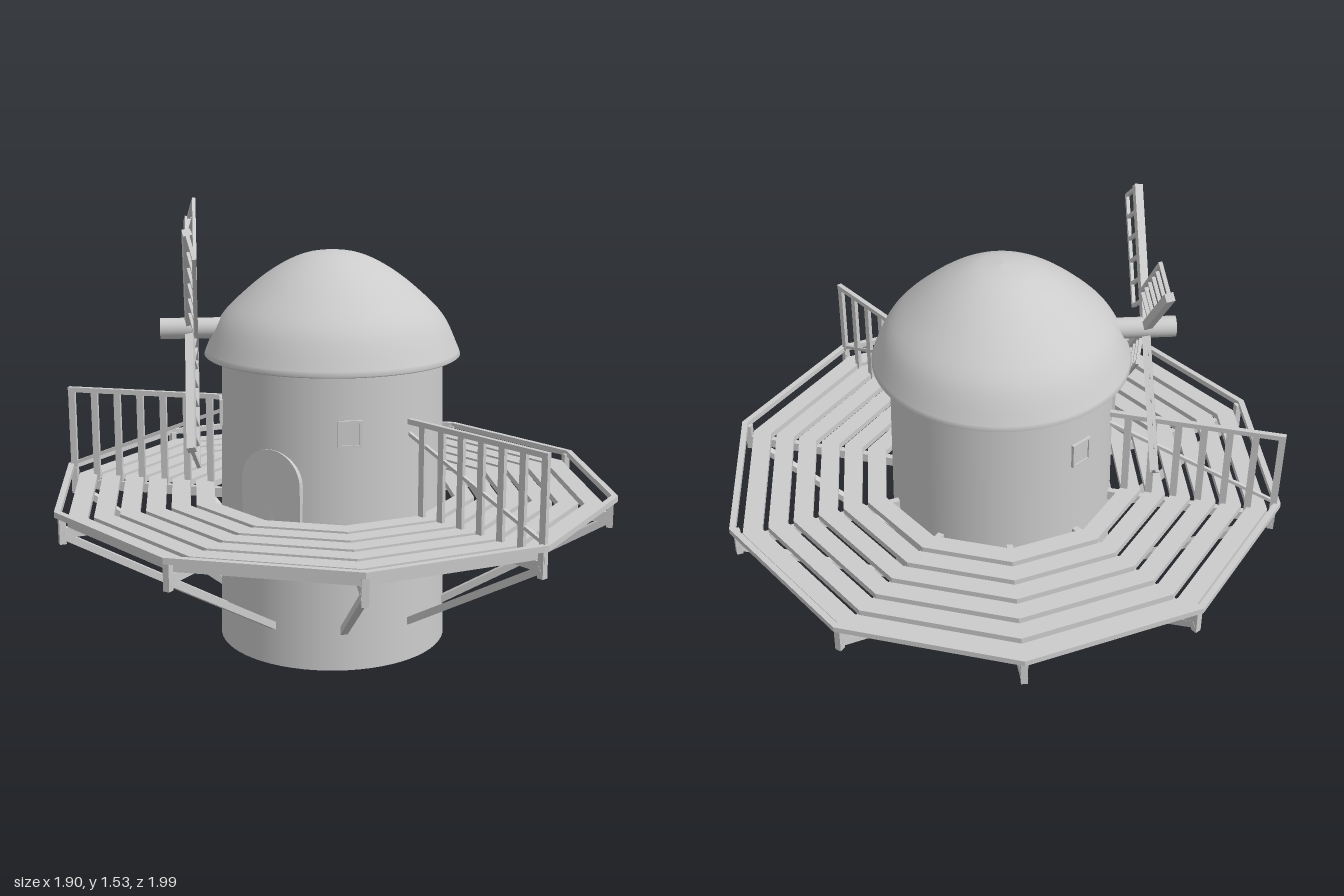
import * as THREE from 'three';

const mat = new THREE.MeshStandardMaterial({ color: 0xcccccc });
const matDouble = new THREE.MeshStandardMaterial({ color: 0xcccccc, side: THREE.DoubleSide });
const SIDES = 10;
const STEP = (Math.PI * 2) / SIDES;
const TURN = THREE.MathUtils.degToRad(1.2);
const APOTHEM = Math.cos(Math.PI / SIDES);

// Point at azimuth a (0 = front, towards +x), radius r and height y
const polar = (a, r, y) => new THREE.Vector3(Math.sin(a) * r, y, Math.cos(a) * r);

function add(parent, name, geometry, material = mat) {
  const mesh = new THREE.Mesh(geometry, material);
  mesh.name = name;
  parent.add(mesh);
  return mesh;
}

// Straight square beam between two points
function beam(parent, name, a, b, w, h = w) {
  const mesh = new THREE.Mesh(new THREE.BoxGeometry(w, h, a.distanceTo(b)), mat);
  mesh.name = name;
  mesh.position.copy(a).add(b).multiplyScalar(0.5);
  mesh.lookAt(b);
  parent.add(mesh);
}

// Flat ten-sided ring between two apothems
function ring(parent, name, inner, outer, y, height) {
  const outline = (apothem) => Array.from({ length: SIDES }, (_, i) => {
    const p = polar(TURN + i * STEP, apothem / APOTHEM, 0);
    return new THREE.Vector2(p.x, -p.z);
  });
  const shape = new THREE.Shape(outline(outer));
  shape.holes.push(new THREE.Path(outline(inner)));
  const geo = new THREE.ExtrudeGeometry(shape, { depth: height, bevelEnabled: false });
  geo.rotateX(-Math.PI / 2);
  add(parent, name, geo).position.y = y;
}

const wallRadius = (y) => 0.4 - 0.018 * y;

// Framed window set in the curved wall
function addWindow(parent, degrees, y, w, h, proud) {
  const a = THREE.MathUtils.degToRad(degrees);
  const win = new THREE.Group();
  win.name = 'window';
  win.position.copy(polar(a, wallRadius(y) + proud - 0.02, y));
  win.rotation.y = a;
  const shape = new THREE.Shape();
  shape.moveTo(-w / 2, -h / 2).lineTo(w / 2, -h / 2).lineTo(w / 2, h / 2).lineTo(-w / 2, h / 2).closePath();
  const t = 0.008;
  const hole = new THREE.Path();
  hole.moveTo(-w / 2 + t, -h / 2 + t).lineTo(-w / 2 + t, h / 2 - t)
    .lineTo(w / 2 - t, h / 2 - t).lineTo(w / 2 - t, -h / 2 + t).closePath();
  shape.holes.push(hole);
  const frame = new THREE.ExtrudeGeometry(shape, { depth: 0.04, bevelEnabled: false });
  add(win, 'windowFrame', frame.translate(0, 0, -0.02));
  add(win, 'windowPane', new THREE.BoxGeometry(w - t, h - t, 0.03));
  parent.add(win);
}

function buildTower() {
  const tower = new THREE.Group();
  tower.name = 'tower';
  const wall = new THREE.CylinderGeometry(wallRadius(1.02), 0.4, 1.02, 64, 1, true);
  add(tower, 'towerWall', wall, matDouble).position.y = 0.51;

  // Domed cap with a flared eave
  const slope = new THREE.SplineCurve([
    [0.437, 1.03], [0.385, 1.14], [0.3, 1.228], [0.2, 1.305], [0.1, 1.354], [0, 1.37],
  ].map(([x, y]) => new THREE.Vector2(x, y))).getPoints(24);
  slope[slope.length - 1].x = 0;
  add(tower, 'cap', new THREE.LatheGeometry(slope, 64), matDouble);
  const eave = [[0.36, 1.025], [0.435, 1.01], [0.442, 1.015], [0.437, 1.03]];
  add(tower, 'capEave', new THREE.LatheGeometry(eave.map(([x, y]) => new THREE.Vector2(x, y)), 64), matDouble);

  // Arched door
  const arch = new THREE.Shape();
  arch.moveTo(-0.115, 0.5).lineTo(0.115, 0.5).lineTo(0.115, 0.635);
  arch.absarc(0, 0.635, 0.115, 0, Math.PI, false);
  const door = new THREE.ExtrudeGeometry(arch, { depth: 0.03, bevelEnabled: false, curveSegments: 16 });
  add(tower, 'door', door).position.z = 0.36;

  for (const d of [-54, -18, 19, 54]) addWindow(tower, d, 0.37, 0.08, 0.09, 0.008);
  for (const d of [-90, 88]) addWindow(tower, d, 0.37, 0.08, 0.09, 0.001);
  for (const d of [-53, 40, -104]) addWindow(tower, d, 0.815, 0.08, 0.09, 0.008);
  return tower;
}

function buildDeck() {
  const deck = new THREE.Group();
  deck.name = 'deck';
  // Concentric planks and raised outer rim
  for (let i = 0; i < 6; i++) {
    const inner = 0.415 + i * 0.085;
    ring(deck, 'plankRing', inner, inner + 0.065, 0.5, 0.022);
  }
  ring(deck, 'rimRail', 0.925, 0.946, 0.537, 0.02);

  // Joists, posts and sloping braces at each corner
  for (let i = 0; i < SIDES; i++) {
    const a = TURN + i * STEP;
    beam(deck, 'joist', polar(a, 0.37, 0.483), polar(a, 0.975, 0.483), 0.022, 0.034);
    beam(deck, 'brace', polar(a, 0.37, 0.125), polar(a, 0.97, 0.475), 0.024);
    const post = add(deck, 'cornerPost', new THREE.BoxGeometry(0.022, 0.1, 0.022));
    post.position.copy(polar(a, 0.97, 0.495));
    post.rotation.y = a;
  }
  return deck;
}

// Radial railing from the wall to a deck corner
function buildRailing(corner) {
  const railing = new THREE.Group();
  railing.name = 'railing';
  const a = TURN + corner * STEP;
  for (let i = 0; i < 7; i++) {
    const baluster = add(railing, 'baluster', new THREE.BoxGeometry(0.014, 0.36, 0.024));
    baluster.position.copy(polar(a, 0.97 - i * 0.087, 0.655));
    baluster.rotation.y = a;
  }
  beam(railing, 'handrail', polar(a, 0.37, 0.836), polar(a, 0.982, 0.836), 0.018);
  beam(railing, 'diagonal', polar(a, 0.37, 0.8), polar(a, 0.97, 0.56), 0.012);
  return railing;
}

// Four lattice sails on a shaft
function buildRotor() {
  const rotor = new THREE.Group();
  rotor.name = 'rotor';
  const a = Math.atan2(-0.8, 0.6);
  rotor.position.copy(polar(a, 0.49, 1.105));
  rotor.rotation.y = a;
  const shaft = new THREE.CylinderGeometry(0.036, 0.036, 0.29, 24).rotateX(Math.PI / 2);
  add(rotor, 'shaft', shaft).position.z = -0.045;

  const v = (x, y) => new THREE.Vector3(x, y, 0);
  for (let k = 0; k < 4; k++) {
    const sail = new THREE.Group();
    sail.name = 'sail';
    sail.rotation.order = 'ZYX';
    sail.rotation.z = THREE.MathUtils.degToRad(47 - 90 + 90 * k);
    sail.rotation.y = 0.2;
    beam(sail, 'spar', v(0, 0), v(0, 0.495), 0.028);
    beam(sail, 'sailEdge', v(0.108, 0.09), v(0.108, 0.495), 0.012);
    for (let i = 0; i <= 5; i++) {
      const y = 0.096 + i * 0.0786;
      beam(sail, 'rung', v(0, y), v(0.108, y), 0.012);
    }
    rotor.add(sail);
  }
  return rotor;
}

export function createModel() {
  const model = new THREE.Group();
  model.name = 'windmill';
  model.add(buildTower(), buildDeck(), buildRailing(2), buildRailing(8), buildRotor());
  return model;
}
